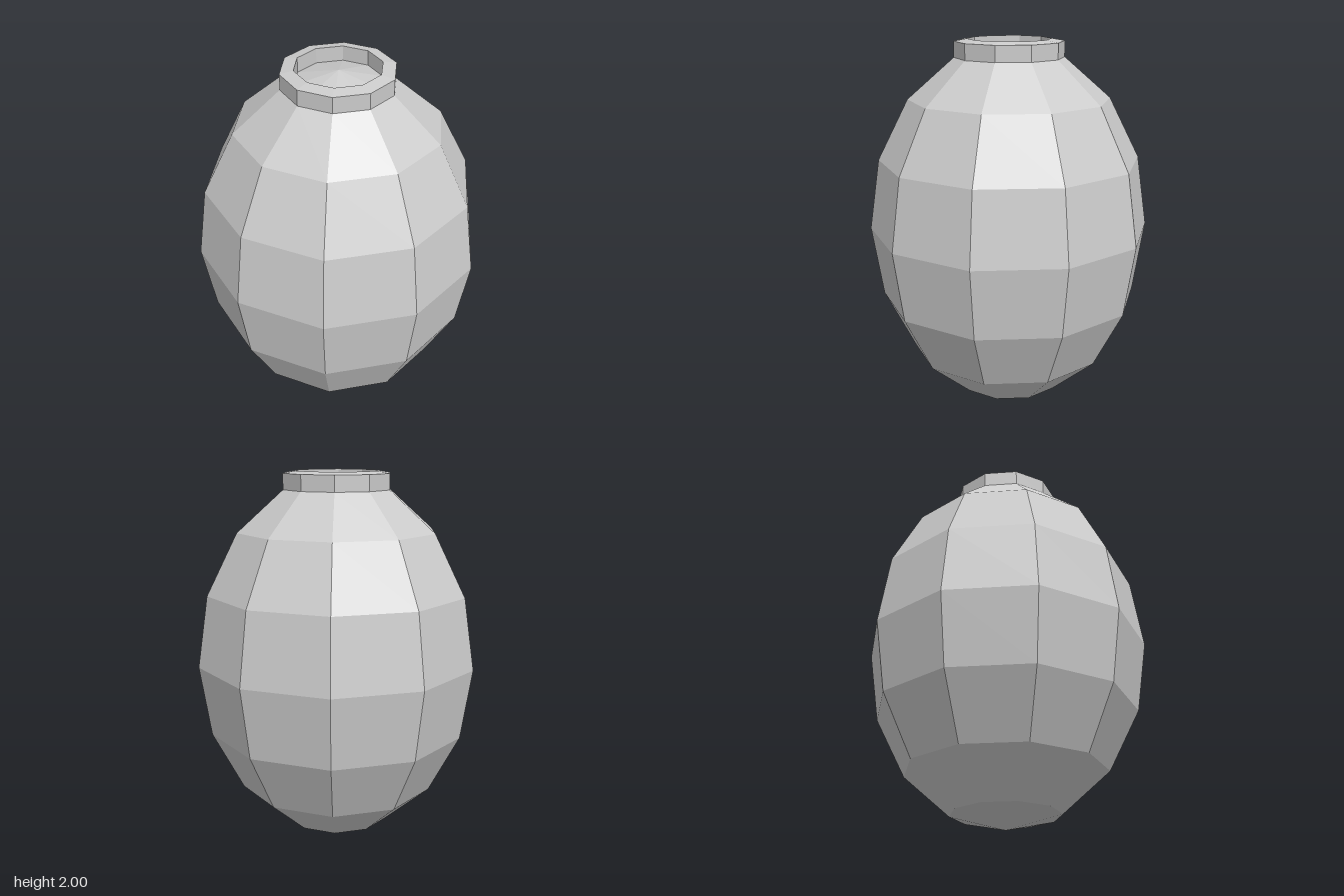
import * as THREE from 'three';

const SIDES = 10;

export function createModel() {
  const group = new THREE.Group();
  const material = new THREE.MeshStandardMaterial({ color: 0xcccccc, flatShading: true });

  // Ten-sided egg-shaped body, with corners on the z axis
  const radius = 0.757, halfHeight = 0.99;
  const bodyGeometry = new THREE.SphereGeometry(radius, SIDES, 8, Math.PI / 2);
  bodyGeometry.scale(1, halfHeight / radius, 1);
  bodyGeometry.translate(0, halfHeight, 0);
  const body = new THREE.Mesh(bodyGeometry, material);
  body.name = 'body';
  group.add(body);

  // Raised collar around the top, its rim rising slightly towards the opening
  const profile = [
    [0.289, 1.9],
    [0.289, 1.988],
    [0.22, 2.0],
    [0.22, 1.9],
    [0.289, 1.9],
  ].map(([r, y]) => new THREE.Vector2(r, y));
  const collar = new THREE.Mesh(new THREE.LatheGeometry(profile, SIDES), material);
  collar.name = 'collar';
  group.add(collar);

  return group;
}
